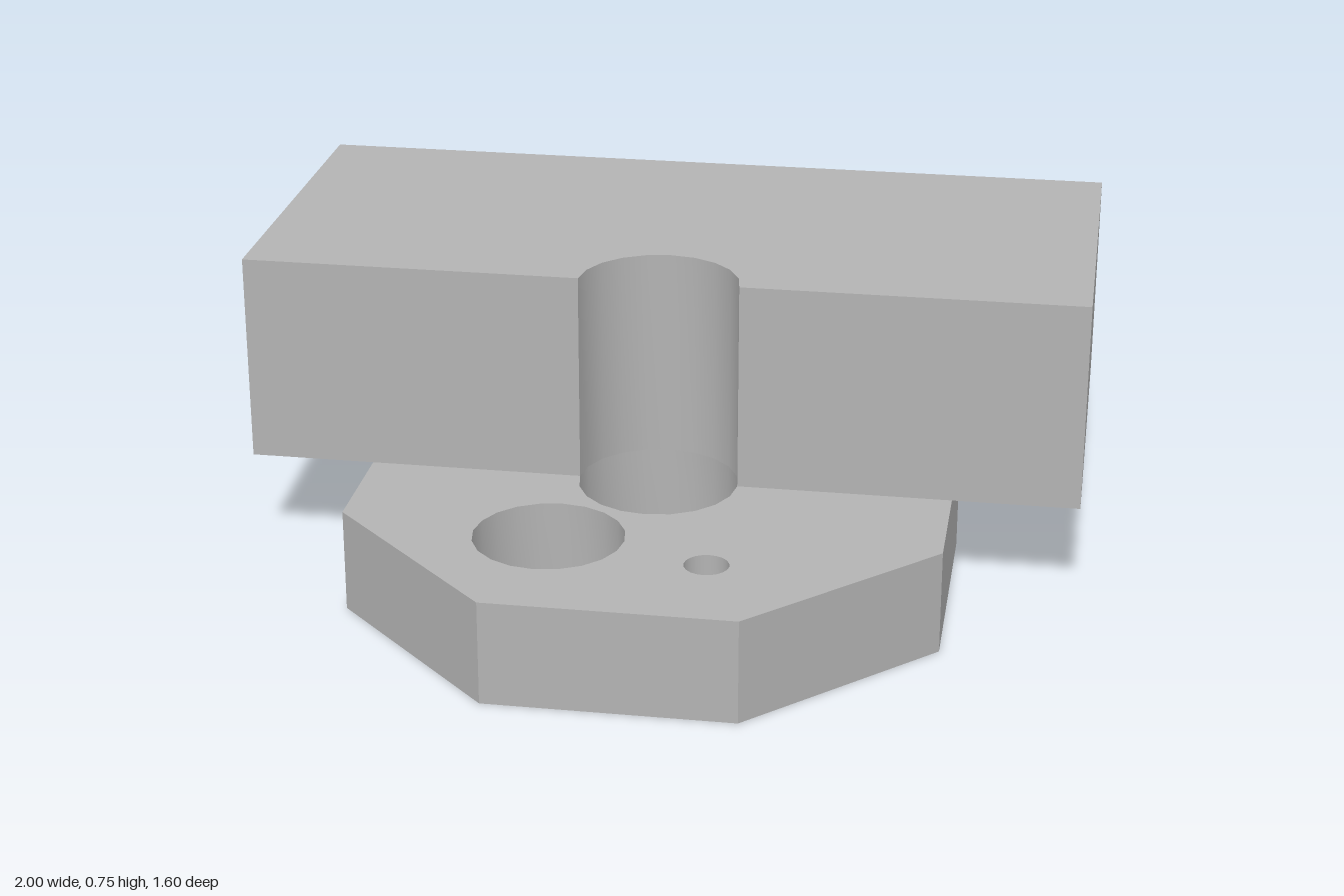
import * as THREE from 'three';
import { toCreasedNormals } from 'three/addons/utils/BufferGeometryUtils.js';

const AXIS_Z = 0.1;        // shared axis of the plate and the main bore
const BORE_R = 0.19;
const PLATE_H = 0.25;
const FLOOR_H = 0.05;      // material left under the blind pocket
const BLOCK_TOP = 0.755;

// Holes as [x, z, radius]
const bore = [0, AXIS_Z, BORE_R];
const pinHole = [0.18, 0.535, 0.052];
const pocket = [-0.2, 0.44, 0.177];
const screwHoles = [[-0.27, 0.307, 0.008], [-0.047, 0.398, 0.008], [-0.338, 0.474, 0.008], [-0.118, 0.565, 0.008]];

export function createModel() {
  const group = new THREE.Group();
  const grey = new THREE.MeshStandardMaterial({ color: 0xb3b3b3 });
  grey.name = 'machinedGrey';

  // Extrudes a plan outline (shape y = -z) upward between two heights
  function addSlab(name, shape, y0, y1, curveSegments) {
    const extruded = new THREE.ExtrudeGeometry(shape, { depth: y1 - y0, bevelEnabled: false, curveSegments });
    extruded.rotateX(-Math.PI / 2).translate(0, y0, 0);
    const mesh = new THREE.Mesh(toCreasedNormals(extruded, 0.6), grey);
    mesh.name = name;
    group.add(mesh);
  }

  // Regular octagon, 1.4 across flats, with round holes
  function octagon(holes) {
    const points = [];
    const radius = 0.7 / Math.cos(Math.PI / 8);
    for (let i = 0; i < 8; i++) {
      const a = (i + 0.5) * Math.PI / 4;
      points.push(new THREE.Vector2(radius * Math.cos(a), radius * Math.sin(a) - AXIS_Z));
    }
    const shape = new THREE.Shape(points);
    for (const [x, z, r] of holes) {
      shape.holes.push(new THREE.Path().absarc(x, -z, r, 0, Math.PI * 2, true));
    }
    return shape;
  }

  // Octagonal plate: thin floor with screw holes, upper layer with the pocket
  addSlab('plateFloor', octagon([bore, pinHole, ...screwHoles]), 0, FLOOR_H, 10);
  addSlab('plateBody', octagon([bore, pinHole, pocket]), FLOOR_H, PLATE_H, 10);

  // Rectangular block with a half-round notch continuing the bore
  const block = new THREE.Shape();
  block.moveTo(-1, 0.8);
  block.lineTo(-1, -AXIS_Z);
  block.lineTo(-BORE_R, -AXIS_Z);
  block.absarc(0, -AXIS_Z, BORE_R, Math.PI, 0, true);
  block.lineTo(1, -AXIS_Z);
  block.lineTo(1, 0.8);
  block.closePath();
  addSlab('notchedBlock', block, PLATE_H, BLOCK_TOP, 5);

  return group;
}
